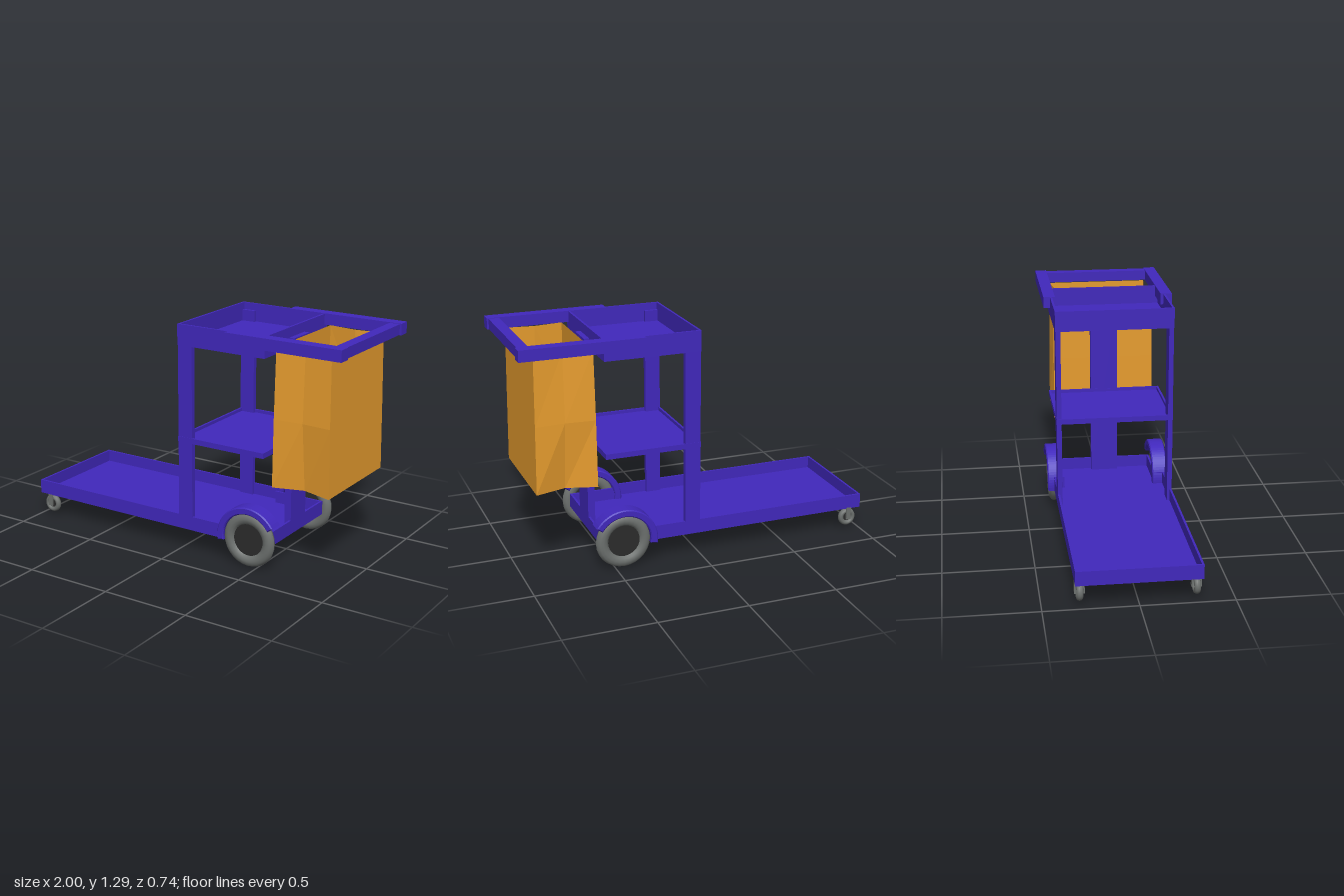
import * as THREE from 'three';

const mat = (color, side = THREE.FrontSide) => new THREE.MeshStandardMaterial({ color, side });
const purple = mat(0x4128bc);
const orange = mat(0xe69c2e, THREE.DoubleSide);
orange.flatShading = true;
const rubber = mat(0x6c706e);
const dark = mat(0x2b2b2b);

function add(parent, name, geometry, material) {
  const mesh = new THREE.Mesh(geometry, material);
  mesh.name = name;
  parent.add(mesh);
  return mesh;
}

// Box given by its limits on each axis
function box(parent, name, [x0, x1], [y0, y1], [z0, z1], material = purple) {
  const mesh = add(parent, name, new THREE.BoxGeometry(x1 - x0, y1 - y0, z1 - z0), material);
  mesh.position.set((x0 + x1) / 2, (y0 + y1) / 2, (z0 + z1) / 2);
  return mesh;
}

// Plan outline raised from y0 to y1
function slab(parent, name, shape, y0, y1) {
  const g = new THREE.ExtrudeGeometry(shape, { depth: y1 - y0, bevelEnabled: false });
  g.rotateX(-Math.PI / 2);
  g.translate(0, y0, 0);
  add(parent, name, g, purple);
}

// Open tray: floor plus a thin rim; outline(inset) gives the plan corners
function tray(parent, name, outline, y0, y1, floor) {
  const group = new THREE.Group();
  group.name = name;
  const pts = (inset) => outline(inset).map(([x, z]) => new THREE.Vector2(x, z));
  const rim = new THREE.Shape(pts(0));
  rim.holes.push(new THREE.Path(pts(0.012)));
  slab(group, name + 'Rim', rim, y0, y1);
  slab(group, name + 'Floor', new THREE.Shape(pts(0.006)), y0 + 0.001, y0 + floor);
  parent.add(group);
}

const rect = (x0, x1, h) => (i) => [[x0 + i, -h + i], [x1 - i, -h + i], [x1 - i, h - i], [x0 + i, h - i]];

// Base narrows at the back to clear the large wheels
const baseOutline = (i) => {
  const half = [[-1 + i, 0.33 - i], [0.28 - i, 0.33 - i], [0.28 - i, 0.28 - i], [0.57 - i, 0.28 - i]];
  return [...half.map(([x, z]) => [x, -z]), ...half.reverse()];
};

// Wheel lying along z: rounded tyre ring and recessed hub
function wheel(name, r, inner, width) {
  const group = new THREE.Group();
  group.name = name;
  const profile = [];
  for (let k = 0; k <= 12; k++) {
    const a = (k / 12) * Math.PI * 2;
    profile.push(new THREE.Vector2((r + inner) / 2 + Math.cos(a) * (r - inner) / 2, Math.sin(a) * width / 2));
  }
  add(group, 'tyre', new THREE.LatheGeometry(profile, 28), rubber).rotation.x = Math.PI / 2;
  add(group, 'hub', new THREE.CylinderGeometry(inner * 1.06, inner * 1.06, width * 0.45, 28), dark).rotation.x = Math.PI / 2;
  return group;
}

// Curved mudguard band over a large wheel
function fenderGeometry(width) {
  const a0 = 0.6, a1 = Math.PI + 0.13;
  const s = new THREE.Shape();
  s.absarc(0, 0, 0.183, a0, a1, false);
  s.absarc(0, 0, 0.155, a1, a0, true);
  s.closePath();
  const b = 0.006;
  const g = new THREE.ExtrudeGeometry(s, {
    depth: width - 2 * b, curveSegments: 16, bevelThickness: b, bevelSize: b, bevelSegments: 1,
  });
  return g.translate(0, 0, -width / 2 + b);
}

// Bag with pinched sides, open at the top
function bagGeometry() {
  const rings = [
    { y: 1.235, z: 0.29, pinch: 0.27, x0: 0.585, x1: 0.905 },
    { y: 0.85, z: 0.297, pinch: 0.285, x0: 0.58, x1: 0.91 },
    { y: 0.475, z: 0.3, pinch: 0.25, x0: 0.577, x1: 0.915 },
  ];
  const pos = [], idx = [], n = 6;
  for (const { y, z, pinch, x0, x1 } of rings) {
    const xm = (x0 + x1) / 2;
    pos.push(x0, y, z, xm, y, pinch, x1, y, z, x1, y, -z, xm, y, -pinch, x0, y, -z);
  }
  for (let r = 0; r < rings.length - 1; r++) {
    for (let k = 0; k < n; k++) {
      const a = r * n + k, b = r * n + (k + 1) % n;
      idx.push(a, a + n, b, b, a + n, b + n);
    }
  }
  // Closed bottom, split along the pinch line
  const o = (rings.length - 1) * n;
  idx.push(o, o + 5, o + 4, o, o + 4, o + 1, o + 1, o + 4, o + 3, o + 1, o + 3, o + 2);
  const g = new THREE.BufferGeometry();
  g.setAttribute('position', new THREE.Float32BufferAttribute(pos, 3));
  g.setIndex(idx);
  g.computeVertexNormals();
  return g;
}

export function createModel() {
  const model = new THREE.Group();
  model.name = 'cleaningCart';

  // Trays
  tray(model, 'base', baseOutline, 0.13, 0.21, 0.012);
  tray(model, 'shelf', rect(0, 0.54, 0.332), 0.635, 0.665, 0.012);
  tray(model, 'topTray', rect(0, 0.54, 0.332), 1.175, 1.29, 0.012);

  // Uprights
  box(model, 'rearPost', [0.53, 0.57], [0.135, 1.235], [-0.08, 0.08]);
  for (const s of [1, -1]) {
    const side = s > 0 ? 'front' : 'back';
    box(model, side + 'Post', [0.002, 0.09], [0.135, 1.25], s > 0 ? [0.303, 0.33] : [-0.33, -0.303]);

    // Bag frame side rail
    box(model, side + 'BagRail', [0.32, 1], [1.23, 1.293], s > 0 ? [0.304, 0.37] : [-0.37, -0.304]);

    // Large wheel and mudguard
    const big = wheel(side + 'Wheel', 0.155, 0.086, 0.058);
    big.position.set(0.45, 0.155, s > 0 ? 0.313 : -0.324);
    model.add(big);
    const fender = add(model, side + 'Fender', fenderGeometry(0.088), purple);
    fender.position.set(0.45, 0.155, s > 0 ? 0.303 : -0.323);

    // Caster with stem and fork
    const caster = new THREE.Group();
    caster.name = side + 'Caster';
    const small = wheel('casterWheel', 0.052, 0.022, 0.036);
    small.position.y = 0.07;
    caster.add(small);
    for (const z of [-0.023, 0.023]) {
      box(caster, 'fork', [-0.014, 0.014], [0.06, 0.126], [z - 0.004, z + 0.004], rubber);
    }
    box(caster, 'stem', [-0.014, 0.014], [0.122, 0.135], [-0.027, 0.027], rubber);
    caster.position.set(-0.93, 0, s * 0.303);
    model.add(caster);
  }

  // Bag and its end rail
  box(model, 'bagEndRail', [0.93, 0.99], [1.232, 1.29], [-0.306, 0.306]);
  add(model, 'bag', bagGeometry(), orange);

  return model;
}
